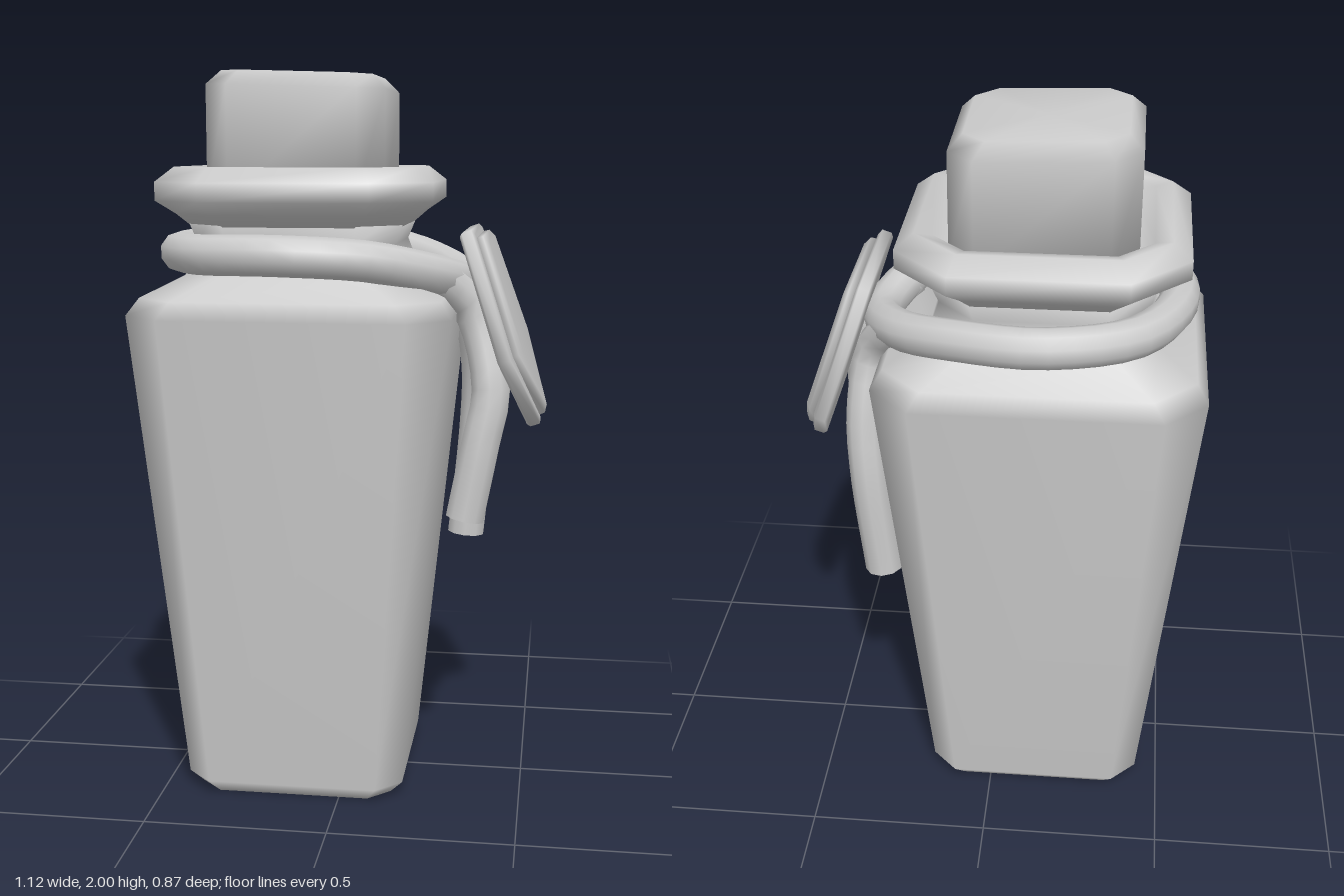
import * as THREE from 'three';

const CX = -0.13; // axis of the bottle
const material = new THREE.MeshStandardMaterial({ color: 0xcccccc });

function addMesh(parent, name, geometry) {
  const mesh = new THREE.Mesh(geometry, material);
  mesh.name = name;
  parent.add(mesh);
  return mesh;
}

// Skin a stack of rings (counter-clockwise seen from the last ring) and cap both ends
function loft(rings) {
  const n = rings[0].length;
  const pos = [];
  const idx = [];
  rings.forEach(r => r.forEach(p => pos.push(...p)));
  for (let k = 0; k < rings.length - 1; k++) {
    for (let i = 0; i < n; i++) {
      const a = k * n + i, b = k * n + (i + 1) % n;
      idx.push(a, b, b + n, a, b + n, a + n);
    }
  }
  const cap = (k, flip) => {
    const c = pos.length / 3;
    pos.push(...[0, 1, 2].map(j => rings[k].reduce((s, p) => s + p[j], 0) / n));
    for (let i = 0; i < n; i++) {
      const a = k * n + i, b = k * n + (i + 1) % n;
      if (flip) idx.push(c, b, a); else idx.push(c, a, b);
    }
  };
  cap(0, true);
  cap(rings.length - 1, false);
  const g = new THREE.BufferGeometry();
  g.setAttribute('position', new THREE.Float32BufferAttribute(pos, 3));
  g.setIndex(idx);
  g.computeVertexNormals();
  return g;
}

// Square ring with cut corners: half width h, corner cut c, optional tilt along x
function octagon(y, h, c, tilt = 0) {
  const k = h - c;
  return [[h, k], [h, -k], [k, -h], [-k, -h], [-h, -k], [-h, k], [-k, h], [k, h]]
    .map(([x, z]) => [x + CX, y + x * tilt, z]);
}

// Rope piece along a smooth path, with flat ends when open
function rope(parent, name, points, closed) {
  const curve = new THREE.CatmullRomCurve3(points.map(p => new THREE.Vector3(...p)), closed);
  const group = new THREE.Group();
  group.name = name;
  parent.add(group);
  addMesh(group, name + 'Tube', new THREE.TubeGeometry(curve, closed ? 40 : 14, 0.054, 10, closed));
  if (!closed) {
    const end = addMesh(group, name + 'End', new THREE.CircleGeometry(0.054, 10));
    end.position.copy(curve.getPoint(1));
    end.quaternion.setFromUnitVectors(new THREE.Vector3(0, 0, 1), curve.getTangent(1));
  }
}

export function createModel() {
  const model = new THREE.Group();
  model.name = 'bottle';

  // Tapered body, shoulder and neck
  addMesh(model, 'body', loft([
    octagon(0, 0.27, 0.06), octagon(0.04, 0.305, 0.07),
    octagon(1.355, 0.435, 0.11), octagon(1.4, 0.405, 0.11),
    octagon(1.455, 0.3, 0.1), octagon(1.54, 0.27, 0.1),
    octagon(1.64, 0.31, 0.12),
  ]));

  // Thick lip around the mouth
  addMesh(model, 'lip', loft([
    octagon(1.58, 0.28, 0.11), octagon(1.62, 0.325, 0.13),
    octagon(1.655, 0.375, 0.15), octagon(1.705, 0.375, 0.15),
    octagon(1.745, 0.325, 0.12), octagon(1.735, 0.28, 0.09),
    octagon(1.69, 0.24, 0.07),
  ]));

  // Stopper with a slightly slanted top
  addMesh(model, 'stopper', loft([
    octagon(1.66, 0.242, 0.07), octagon(1.955, 0.242, 0.07, -0.03),
    octagon(1.993, 0.205, 0.06, -0.03),
  ]));

  // Rope loop round the neck, dipping towards the tag
  const half = [[-0.38, 1.515, 0.27], [-0.15, 1.52, 0.368], [0.08, 1.505, 0.315], [0.24, 1.465, 0.19]];
  rope(model, 'neckRope', [
    [-0.486, 1.51, 0],
    ...half,
    [0.315, 1.43, 0],
    ...half.slice().reverse().map(([x, y, z]) => [x, y, -z]),
  ], true);

  // Hanging rope ends
  rope(model, 'frontRopeEnd',
    [[0.26, 1.455, 0.15], [0.345, 1.36, 0.1], [0.4, 1.15, 0.135], [0.375, 1.0, 0.15], [0.335, 0.79, 0.155]], false);
  rope(model, 'backRopeEnd',
    [[0.26, 1.455, -0.15], [0.325, 1.36, -0.09], [0.355, 1.18, -0.125], [0.35, 1.0, -0.15], [0.32, 0.675, -0.15]], false);

  // Five-sided tag: rim plate with a raised face, leaning outwards
  const pentagon = (s, z) =>
    [[0.19, 0.29], [-0.19, 0.29], [-0.302, -0.06], [0, -0.29], [0.302, -0.06]]
      .map(([x, y]) => [x * s, y * s, z]);
  const tag = new THREE.Group();
  tag.name = 'tag';
  addMesh(tag, 'tagRim', loft([pentagon(0.97, 0), pentagon(1, 0.008), pentagon(1, 0.035), pentagon(0.95, 0.042)]));
  addMesh(tag, 'tagFace', loft([pentagon(0.92, 0.03), pentagon(0.91, 0.058), pentagon(0.84, 0.07)]));
  tag.position.set(0.405, 1.295, 0);
  const up = new THREE.Vector3(-0.327, 0.945, 0).normalize();
  const side = new THREE.Vector3(0, 0, -1);
  tag.quaternion.setFromRotationMatrix(
    new THREE.Matrix4().makeBasis(side, up, side.clone().cross(up)));
  model.add(tag);

  return model;
}
